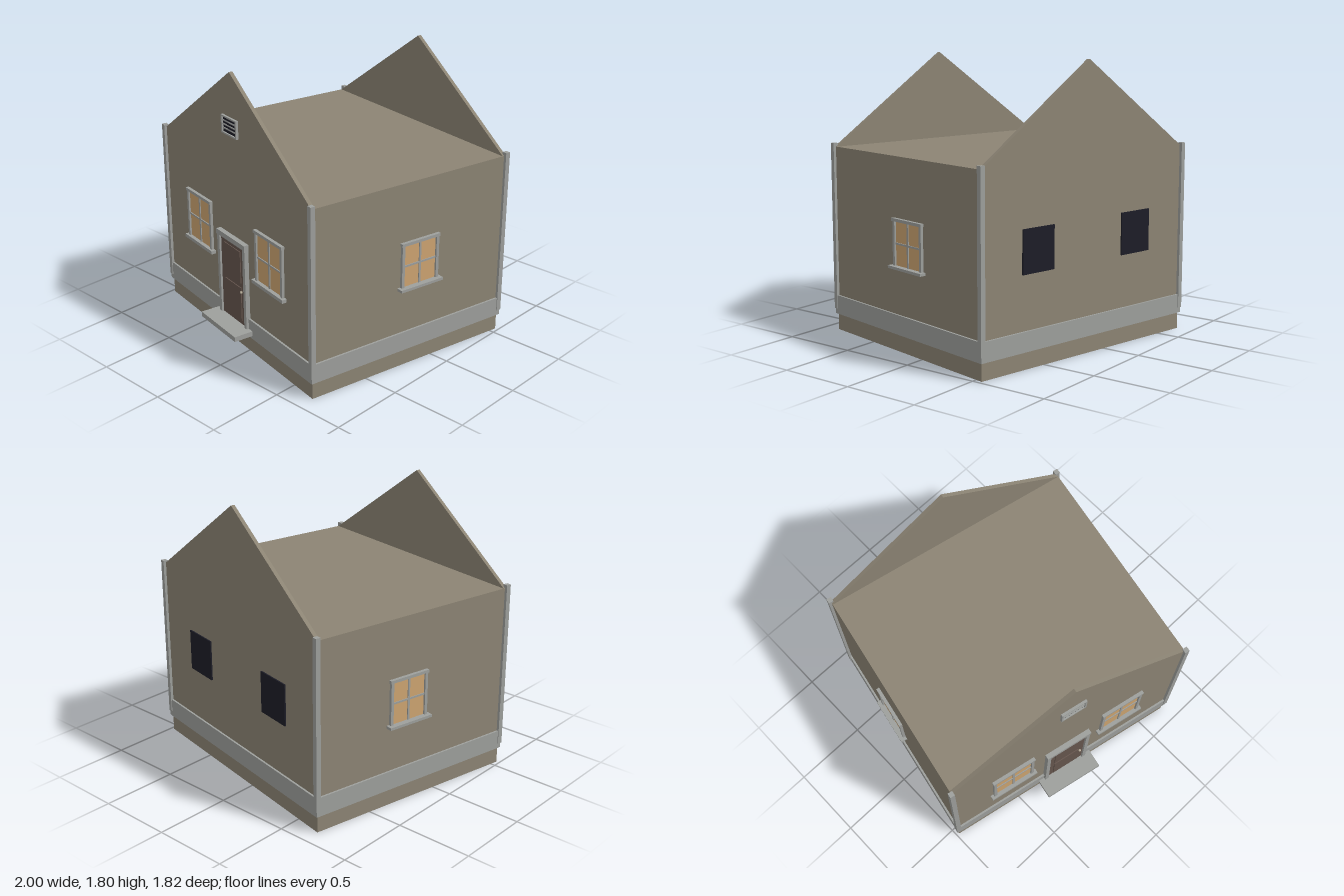
import * as THREE from 'three';

const material = (name, color) => {
  const m = new THREE.MeshStandardMaterial({ color });
  m.name = name;
  return m;
};

export function createModel() {
  const wall = material('taupe wall', 0x8c8474);
  const trim = material('grey trim', 0x9d9f9c);
  const doorBrown = material('door brown', 0x66564e);
  const glow = material('warm pane', 0xcda471);
  const dark = material('dark pane', 0x1d1d27);
  const metal = material('knob metal', 0xb8ad9a);

  const W = 0.85, D = 0.733, EAVE = 1.22, PEAK = 1.805;
  const house = new THREE.Group();
  house.name = 'house';
  house.rotation.y = -0.2;

  // Box given by its centre x, bottom and top y, back and front z, and width
  const box = (parent, name, mat, x, w, y0, y1, z0, z1) => {
    const mesh = new THREE.Mesh(new THREE.BoxGeometry(w, y1 - y0, z1 - z0), mat);
    mesh.position.set(x, (y0 + y1) / 2, (z0 + z1) / 2);
    mesh.name = name;
    parent.add(mesh);
    return mesh;
  };

  // Body with flat roof deck, and skirt board
  box(house, 'body', wall, 0, 2 * W, 0, EAVE, -D, D);
  box(house, 'skirtBoard', trim, 0, 2 * (W + 0.013), 0.11, 0.235, -D - 0.013, D + 0.013);

  // Free-standing gable ends
  const triangle = new THREE.Shape([
    new THREE.Vector2(-W, EAVE), new THREE.Vector2(W, EAVE), new THREE.Vector2(0, PEAK),
  ]);
  const gableGeometry = new THREE.ExtrudeGeometry(triangle, { depth: 0.025, bevelEnabled: false });
  for (const [name, z] of [['frontGable', D - 0.025], ['backGable', -D]]) {
    const gable = new THREE.Mesh(gableGeometry, wall);
    gable.position.z = z;
    gable.name = name;
    house.add(gable);
  }

  // Corner posts
  for (const sx of [-1, 1]) {
    for (const sz of [-1, 1]) {
      const z = sz * 0.735;
      box(house, 'cornerPost', trim, sx * 0.852, 0.032, 0.145, 1.243, z - 0.016, z + 0.016);
    }
  }

  // Lit window with four panes, built on the plane z = 0
  const makeWindow = (name, w, y0, y1, sillW, sillH, sillD) => {
    const g = new THREE.Group();
    g.name = name;
    const t = 0.02, mid = (y0 + y1) / 2;
    box(g, 'pane', glow, 0, w, y0, y1, 0, 0.006);
    box(g, 'mullion', trim, 0, 0.014, y0, y1, 0, 0.012);
    box(g, 'glazingBar', trim, 0, w, mid - 0.006, mid + 0.006, 0, 0.012);
    for (const s of [-1, 1]) {
      box(g, 'sideTrim', trim, s * (w / 2 + t / 2), t, y0, y1, 0, 0.018);
    }
    box(g, 'headTrim', trim, 0, w + 2 * t + 0.01, y1, y1 + 0.019, 0, 0.022);
    box(g, 'sill', trim, 0, sillW, y0 - sillH, y0, 0, sillD);
    house.add(g);
    return g;
  };

  for (const s of [-1, 1]) {
    const front = makeWindow('frontWindow', 0.262, 0.552, 0.869, 0.345, 0.022, 0.032);
    front.position.set(s * 0.414, 0, D);
    const side = makeWindow('sideWindow', 0.245, 0.546, 0.822, 0.325, 0.017, 0.043);
    side.position.set(s * W, 0, -0.056);
    side.rotation.y = s * Math.PI / 2;
    // Plain dark windows on the back wall
    box(house, 'backWindow', dark, s * 0.415, 0.25, 0.575, 0.845, -D - 0.009, -D);
  }

  // Door with frame, raised panels, knob and step
  const door = new THREE.Group();
  door.name = 'door';
  door.position.z = D;
  house.add(door);
  box(door, 'doorLeaf', doorBrown, 0, 0.275, 0.165, 0.705, 0, 0.016);
  for (const [y0, y1] of [[0.19, 0.425], [0.457, 0.675]]) {
    box(door, 'doorPanel', doorBrown, 0, 0.19, y0, y1, 0.016, 0.022);
  }
  for (const s of [-1, 1]) {
    box(door, 'doorJamb', trim, s * 0.151, 0.027, 0.165, 0.711, 0, 0.03);
  }
  box(door, 'doorHead', trim, 0, 0.335, 0.711, 0.745, 0, 0.034);
  box(door, 'doorStep', trim, 0, 0.414, 0.132, 0.165, 0, 0.143);
  const knob = new THREE.Mesh(new THREE.SphereGeometry(0.009, 12, 8), metal);
  knob.position.set(0.105, 0.4, 0.026);
  knob.name = 'doorKnob';
  door.add(knob);

  // Louvred gable vent
  const vent = new THREE.Group();
  vent.name = 'gableVent';
  vent.position.z = D;
  house.add(vent);
  box(vent, 'ventOpening', dark, 0, 0.155, 1.418, 1.514, 0, 0.006);
  for (const s of [-1, 1]) {
    box(vent, 'ventSide', trim, s * 0.082, 0.012, 1.408, 1.524, 0, 0.016);
    const y = 1.466 + s * 0.053;
    box(vent, 'ventRail', trim, 0, 0.152, y - 0.005, y + 0.005, 0, 0.016);
  }
  for (let i = 0; i < 3; i++) {
    const y = 1.442 + i * 0.024;
    box(vent, 'ventSlat', trim, 0, 0.152, y - 0.004, y + 0.004, 0, 0.01);
  }

  const model = new THREE.Group();
  model.name = 'smallHouse';
  model.add(house);
  return model;
}
